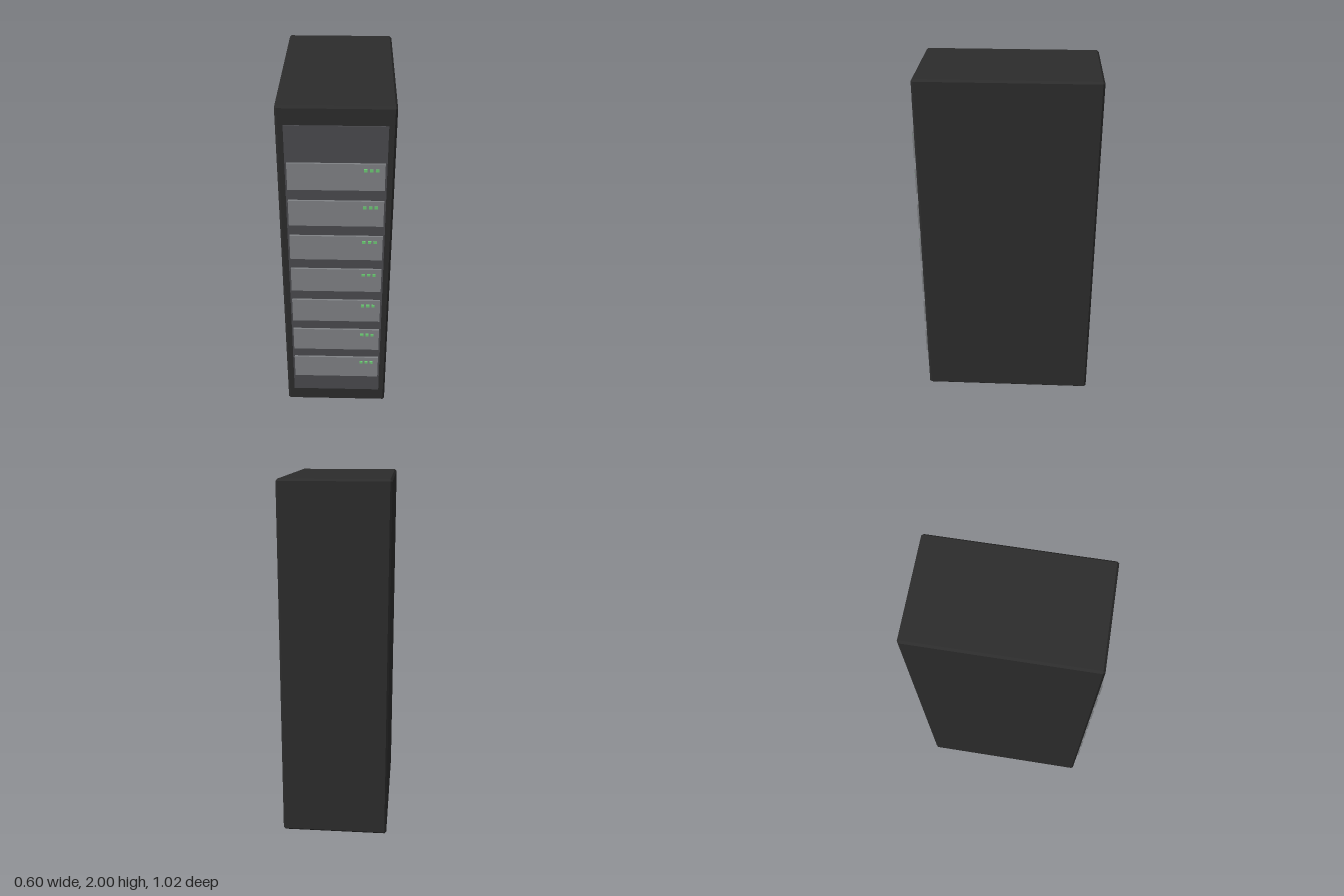
import * as THREE from 'three';
import { ConvexGeometry } from 'three/addons/geometries/ConvexGeometry.js';

const material = (name, color) => {
  const m = new THREE.MeshStandardMaterial({ color });
  m.name = name;
  return m;
};

// Box with flat 45 degree chamfers on every edge
function chamferedBox(w, h, d, c) {
  const points = [];
  for (const sx of [-1, 1]) for (const sy of [-1, 1]) for (const sz of [-1, 1]) {
    for (let full = 0; full < 3; full++) {
      const inset = (axis) => (axis === full ? 0 : c);
      points.push(new THREE.Vector3(
        sx * (w / 2 - inset(0)), sy * (h / 2 - inset(1)), sz * (d / 2 - inset(2))));
    }
  }
  return new ConvexGeometry(points);
}

export function createModel() {
  const model = new THREE.Group();
  model.name = 'serverRack';
  const black = material('cabinet black', 0x2c2c2c);
  const darkGrey = material('panel dark grey', 0x4a4a4e);
  const grey = material('server grey', 0x808285);
  const green = material('light green', 0x6ccc74);

  const add = (parent, name, geometry, mat, x, y, z) => {
    const mesh = new THREE.Mesh(geometry, mat);
    mesh.name = name;
    mesh.position.set(x, y, z);
    parent.add(mesh);
  };

  // Cabinet and front panel
  add(model, 'cabinet', chamferedBox(0.597, 2, 0.993, 0.011), black, 0, 1, -0.0115);
  add(model, 'frontPanel', new THREE.BoxGeometry(0.518, 1.8, 0.02), darkGrey, 0, 1, 0.481);

  // Seven servers, each with three status lights
  const serverGeometry = new THREE.BoxGeometry(0.498, 0.154, 0.02);
  const lightGeometry = new THREE.BoxGeometry(0.018, 0.015, 0.01);
  for (let i = 0; i < 7; i++) {
    const server = new THREE.Group();
    server.name = `server${i + 1}`;
    server.position.y = 0.3 + i * 0.22;
    add(server, 'serverFront', serverGeometry, grey, 0, 0, 0.492);
    for (let j = 0; j < 3; j++) {
      add(server, 'statusLight', lightGeometry, green, 0.149 + j * 0.03, 0.042, 0.503);
    }
    model.add(server);
  }
  return model;
}
